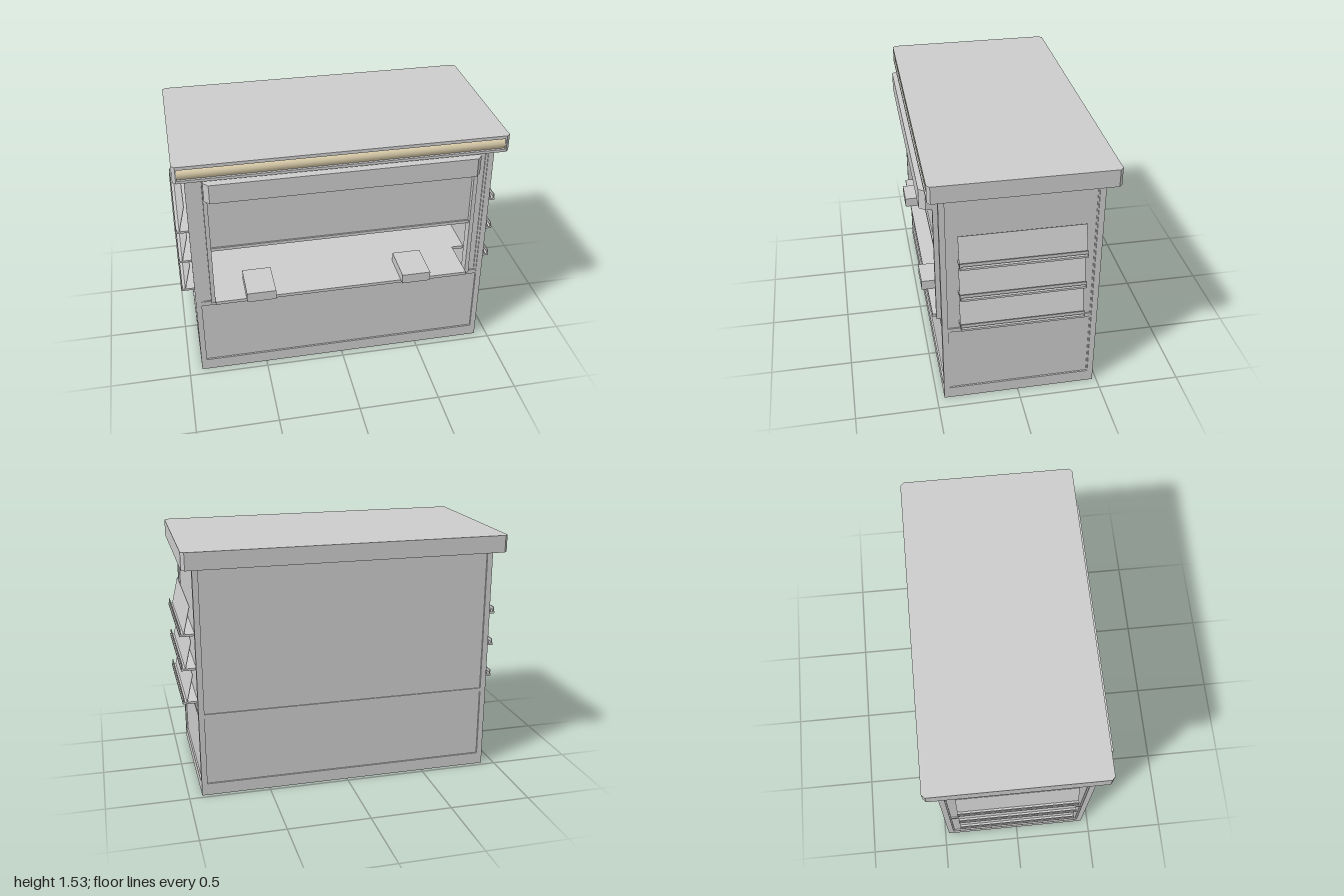
import * as THREE from 'three';

const grey = new THREE.MeshStandardMaterial({ color: 0xcccccc });
grey.name = 'painted metal grey';
const cream = new THREE.MeshStandardMaterial({ color: 0xe6d8b4 });
cream.name = 'fascia cream';

// Box given by its extents on each axis
function box(parent, name, [x0, x1], [y0, y1], [z0, z1]) {
  const mesh = new THREE.Mesh(new THREE.BoxGeometry(x1 - x0, y1 - y0, z1 - z0), grey);
  mesh.position.set((x0 + x1) / 2, (y0 + y1) / 2, (z0 + z1) / 2);
  mesh.name = name;
  parent.add(mesh);
  return mesh;
}

// Plan outline as [x, z] points, extruded upward from y0 to y1
function slab(parent, name, points, y0, y1) {
  const shape = new THREE.Shape(points.map(([x, z]) => new THREE.Vector2(x, -z)));
  const geometry = new THREE.ExtrudeGeometry(shape, { depth: y1 - y0, bevelEnabled: false });
  geometry.rotateX(-Math.PI / 2);
  const mesh = new THREE.Mesh(geometry, grey);
  mesh.position.y = y0;
  mesh.name = name;
  parent.add(mesh);
}

function group(parent, name) {
  const g = new THREE.Group();
  g.name = name;
  parent.add(g);
  return g;
}

function addBody(root) {
  const body = group(root, 'body');
  box(body, 'plinth', [-0.92, 0.92], [0, 0.075], [-0.475, 0.455]);
  box(body, 'backPanel', [-0.9, 0.9], [0.07, 1.43], [-0.465, -0.43]);
  box(body, 'lowerFrontPanel', [-0.9, 0.9], [0.07, 0.54], [0.41, 0.444]);
  box(body, 'ceiling', [-0.9, 0.9], [1.41, 1.43], [-0.44, 0.43]);
  box(body, 'frontBand', [-0.9, 0.9], [0.51, 0.54], [0.42, 0.453]);
  box(body, 'backBand', [-0.9, 0.9], [0.505, 0.53], [-0.472, -0.44]);
  for (const s of [-1, 1]) {
    const span = (a, b) => (s > 0 ? [a, b] : [-b, -a]);
    box(body, 'sidePanel', span(0.88, 0.91), [0.07, 1.43], [-0.46, 0.44]);
    box(body, 'sideBand', span(0.89, 0.918), [0.505, 0.53], [-0.44, 0.42]);
    box(body, 'frontUpperPanel', span(0.8, 0.9), [0.54, 1.43], [0.41, 0.444]);
    // Corner posts, each with a thin inner bead beside the panels
    for (const [z0, z1] of [[0.42, 0.455], [-0.475, -0.44]]) {
      box(body, 'cornerPost', span(0.885, 0.92), [0.07, 1.43], [z0, z1]);
    }
    box(body, 'frontPostBead', span(0.87, 0.89), [0.54, 1.43], [0.43, 0.45]);
    box(body, 'sidePostBead', span(0.89, 0.914), [0.07, 1.43], [0.41, 0.425]);
    box(body, 'sidePostBead', span(0.89, 0.914), [0.07, 1.43], [-0.445, -0.432]);
  }
}

function addServingWindow(root) {
  const win = group(root, 'servingWindow');
  for (const s of [-1, 1]) {
    const span = (a, b) => (s > 0 ? [a, b] : [-b, -a]);
    box(win, 'shutterGuide', span(0.8, 0.825), [0.54, 1.42], [0.42, 0.475]);
  }
  box(win, 'shutter', [-0.81, 0.81], [0.93, 1.42], [0.425, 0.445]);
  box(win, 'shutterBottomRail', [-0.81, 0.81], [0.91, 0.93], [0.42, 0.455]);
  // Shutter housing with splayed ends
  slab(win, 'shutterHousing',
    [[-0.82, 0.455], [0.82, 0.455], [0.82, 0.51], [0.79, 0.545], [-0.79, 0.545], [-0.82, 0.51]],
    1.295, 1.415);
  // Counter, interior floor and coin trays
  box(win, 'counter', [-0.8, 0.8], [0.54, 0.56], [0.2, 0.495]);
  box(win, 'interiorFloor', [-0.89, 0.89], [0.535, 0.555], [-0.44, 0.2]);
  for (const x of [-0.52, 0.46]) {
    box(win, 'coinTray', [x - 0.09, x + 0.09], [0.558, 0.62], [0.28, 0.53]);
  }
  // Shelves along the inner back wall
  for (const y of [0.61, 0.79]) {
    box(win, 'innerShelf', [-0.88, 0.88], [y, y + 0.025], [-0.44, -0.36]);
  }
}

function addRoof(root) {
  const roof = group(root, 'roof');
  const c = 0.02, x = 0.985, back = -0.545, front = 0.5;
  slab(roof, 'roofSlab', [
    [-x + c, back], [x - c, back], [x, back + c], [x, front], [-x, front], [-x, back + c],
  ], 1.43, 1.535);
  // Raised border around the fascia
  const border = [[-x, front], [x, front], [x - c, front + 0.018], [-x + c, front + 0.018]];
  slab(roof, 'fasciaTopBorder', border, 1.515, 1.535);
  slab(roof, 'fasciaBottomBorder', border, 1.43, 1.447);
  for (const s of [-1, 1]) {
    slab(roof, 'fasciaEndBorder',
      [[s * 0.958, front], [s * x, front], [s * (x - c), front + 0.018], [s * 0.958, front + 0.018]],
      1.44, 1.52);
  }
  // Gently bowed fascia panel
  const geometry = new THREE.PlaneGeometry(1.92, 0.07, 1, 12);
  const p = geometry.attributes.position;
  for (let i = 0; i < p.count; i++) {
    p.setZ(i, 0.014 * (1 - (p.getY(i) / 0.035) ** 2));
  }
  geometry.computeVertexNormals();
  const fascia = new THREE.Mesh(geometry, cream);
  fascia.position.set(0, 1.481, 0.502);
  fascia.name = 'fasciaPanel';
  roof.add(fascia);
}

// Three sloping display racks on each side
function addRacks(root) {
  const z = [-0.375, 0.355];
  for (const s of [-1, 1]) {
    const racks = group(root, s > 0 ? 'leftRacks' : 'rightRacks');
    const span = (a, b) => (s > 0 ? [a, b] : [-b, -a]);
    for (const y of [0.57, 0.782, 0.995]) {
      box(racks, 'rackShelf', span(0.905, 1), [y, y + 0.013], z);
      box(racks, 'rackLip', span(0.99, 0.996), [y + 0.022, y + 0.042], z);
      for (const e of [z[0], z[1] - 0.006]) {
        box(racks, 'rackLipSupport', span(0.99, 0.996), [y + 0.01, y + 0.025], [e, e + 0.006]);
      }
      const back = box(racks, 'rackBack', [-0.0015, 0.0015], [0, Math.hypot(0.04, 0.17)], z);
      back.position.set(s * 0.953, y + 0.098, (z[0] + z[1]) / 2);
      back.rotation.z = s * Math.atan2(0.04, 0.17);
    }
  }
}

export function createModel() {
  const kiosk = new THREE.Group();
  kiosk.name = 'kiosk';
  addBody(kiosk);
  addServingWindow(kiosk);
  addRoof(kiosk);
  addRacks(kiosk);
  return kiosk;
}
